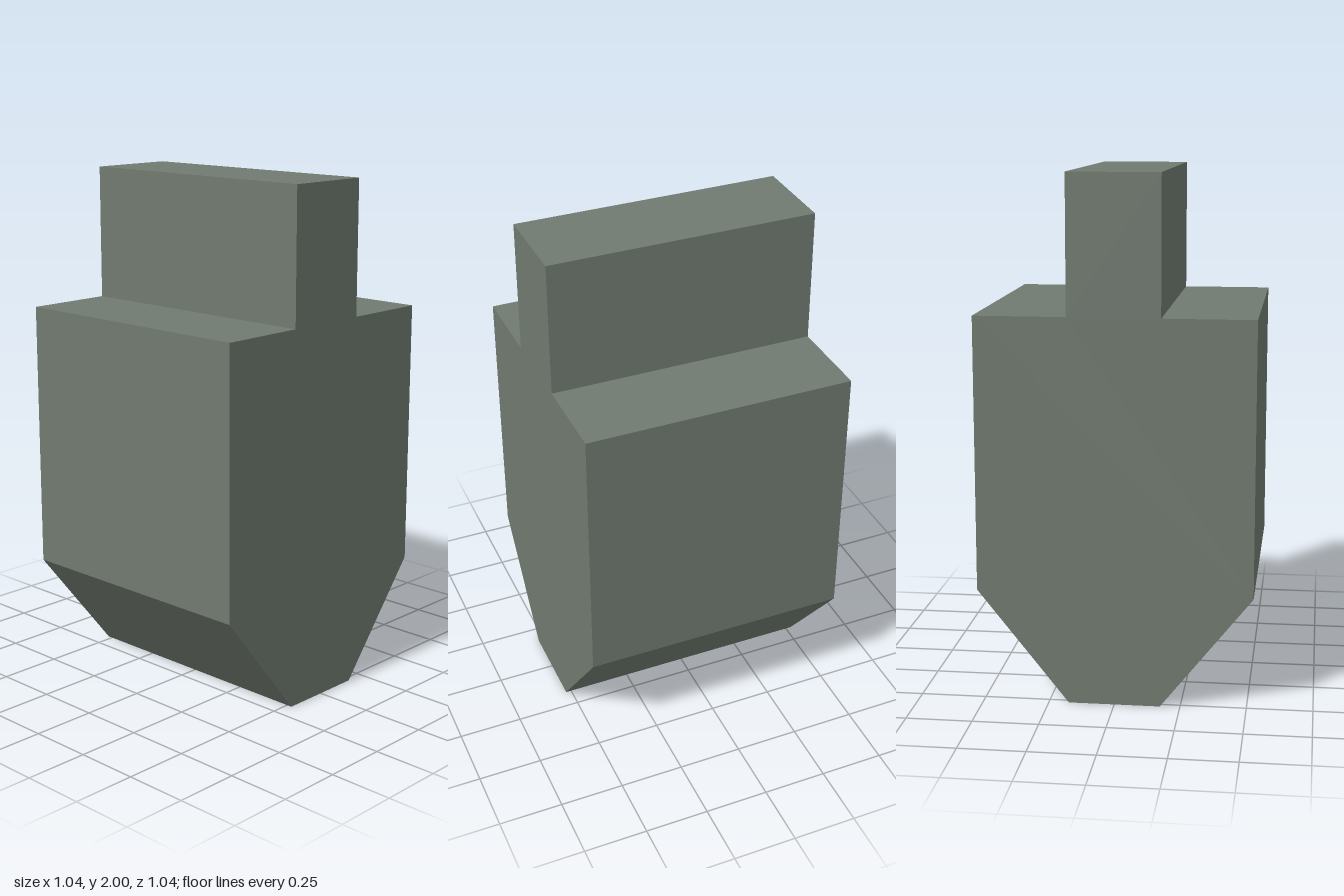
import * as THREE from 'three';

export function createModel() {
  const model = new THREE.Group();
  const greyGreen = new THREE.MeshStandardMaterial({ color: 0x707a70 });
  greyGreen.name = 'greyGreen';

  const halfWidth = 0.522, halfNeck = 0.174, depth = 1.044;
  const taperTop = 0.435, shoulder = 1.478, top = 2;

  // Right half of the outline, bottom to top, mirrored for the other side
  const half = [
    [halfNeck, 0], [halfWidth, taperTop], [halfWidth, shoulder],
    [halfNeck, shoulder], [halfNeck, top],
  ];
  const mirrored = half.map(([x, y]) => [-x, y]).reverse();
  const outline = new THREE.Shape([...half, ...mirrored].map(([x, y]) => new THREE.Vector2(x, y)));

  // Tapered block with a narrow upright tang, one solid prism
  const geometry = new THREE.ExtrudeGeometry(outline, { depth, bevelEnabled: false });
  geometry.translate(0, 0, -depth / 2);
  const block = new THREE.Mesh(geometry, greyGreen);
  block.name = 'taperedBlock';
  model.add(block);

  return model;
}
